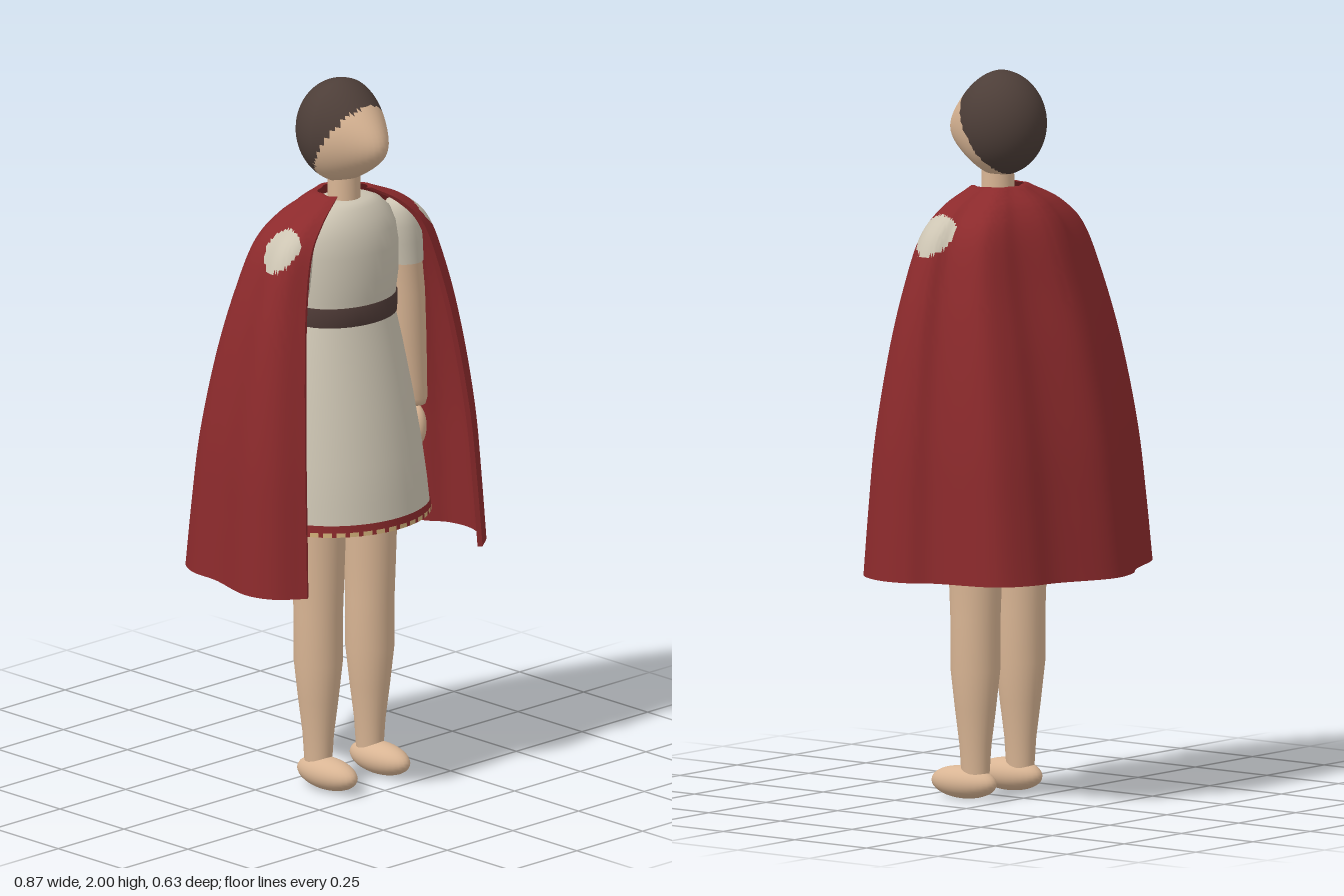
import * as THREE from 'three';
import { mergeVertices, toCreasedNormals } from 'three/addons/utils/BufferGeometryUtils.js';

const mat = (name, color) => new THREE.MeshStandardMaterial({ name, color, side: THREE.DoubleSide });

const CZ = 0.09; // depth of the body's axis

function meshOf(name, geometry, material) {
  const m = new THREE.Mesh(geometry, material);
  m.name = name;
  return m;
}

function buffer(pos, idx) {
  const g = new THREE.BufferGeometry();
  g.setAttribute('position', new THREE.Float32BufferAttribute(pos, 3));
  g.setIndex(idx);
  g.computeVertexNormals();
  return g;
}

// Stacked elliptical rings, top to bottom: [y, rx, rz, cx, cz]
function loft(rows, segs = 40, grow = 0) {
  const pos = [], idx = [];
  rows.forEach(([y, rx, rz, cx = 0, cz = CZ], j) => {
    for (let i = 0; i < segs; i++) {
      const a = (i / segs) * Math.PI * 2;
      pos.push(cx + (rx + grow) * Math.cos(a), y, cz + (rz + grow) * Math.sin(a));
      if (j === rows.length - 1) continue;
      const p = j * segs + i, q = j * segs + ((i + 1) % segs);
      idx.push(p, q, p + segs, q, q + segs, p + segs);
    }
  });
  return buffer(pos, idx);
}

// Sorts triangles into material groups; pick(centroid, triangle) gives a material index
function paint(g, count, pick) {
  const buckets = Array.from({ length: count }, () => []);
  const p = g.attributes.position, index = g.index.array;
  const v = new THREE.Vector3(), c = new THREE.Vector3();
  for (let t = 0; t < index.length; t += 3) {
    c.set(0, 0, 0);
    for (let k = 0; k < 3; k++) c.add(v.fromBufferAttribute(p, index[t + k]));
    buckets[pick(c.divideScalar(3), t / 3)].push(index[t], index[t + 1], index[t + 2]);
  }
  g.setIndex(buckets.flat());
  let start = 0;
  buckets.forEach((b, i) => {
    g.addGroup(start, b.length, i);
    start += b.length;
  });
  return g;
}

function ellipsoid(name, material, r, x, y, z) {
  const m = meshOf(name, new THREE.SphereGeometry(1, 28, 20), material);
  m.scale.set(...r);
  m.position.set(x, y, z);
  return m;
}

// Egg-shaped head whose face comes to a soft point at the nose
function headGeometry() {
  let g = new THREE.SphereGeometry(1, 56, 40);
  g.deleteAttribute('uv');
  g.deleteAttribute('normal');
  g = mergeVertices(g);
  const p = g.attributes.position;
  for (let i = 0; i < p.count; i++) {
    const x = p.getX(i), y = p.getY(i), z = p.getZ(i), f = Math.max(z, 0);
    const depth = z > 0 ? 0.13 * f ** 1.4 + 0.03 * f ** 8 : 0.135 * z;
    p.setXYZ(i, x * 0.122, 1.855 + y * 0.145 - 0.022 * f ** 4, 0.085 + depth);
  }
  g.computeVertexNormals();
  // Hairline slants from the forehead down to the nape
  return paint(g, 2, (c) => (c.z < 0.045 + (c.y - 1.72) * 0.6 ? 1 : 0));
}

// Cape: a wavy open outline scaled by height, given thickness
function capeGeometry() {
  const outline = new THREE.CatmullRomCurve3([
    [-0.34, 0.295], [-0.412, 0.235], [-0.437, 0.155], [-0.402, 0], [-0.394, -0.1], [-0.344, -0.175],
    [-0.18, -0.25], [-0.1, -0.3], [0, -0.317], [0.17, -0.25], [0.26, -0.23], [0.34, -0.175],
    [0.39, 0.01], [0.428, 0.07], [0.436, 0.15], [0.4, 0.235], [0.33, 0.293],
  ].map(([x, z]) => new THREE.Vector3(x, 0, z - CZ)));
  // width scale, height, depth scale
  const drape = new THREE.CatmullRomCurve3([
    [0.2, 1.685, 0.2], [0.47, 1.63, 0.36], [0.645, 1.56, 0.46], [0.77, 1.42, 0.58],
    [0.865, 1.24, 0.725], [0.945, 1.0, 0.87], [0.975, 0.82, 0.94], [1, 0.635, 1],
  ].map((a) => new THREE.Vector3(...a)));
  const cols = 100, rows = 70, ring = rows * 2;
  const around = outline.getPoints(cols - 1), down = drape.getSpacedPoints(rows - 1);
  const pos = [], idx = [];
  around.forEach((o, i) => {
    for (let j = 0; j < ring; j++) {
      const inner = j >= rows, d = down[inner ? ring - 1 - j : j], k = inner ? 0.014 : 0;
      const x = o.x * d.x, z = o.z * d.z, len = Math.hypot(x, z);
      pos.push(x * (1 - k / len), d.y, CZ + z * (1 - k / len));
      if (i === cols - 1) continue;
      const a = i * ring + j, c = i * ring + ((j + 1) % ring);
      idx.push(a, a + ring, c, a + ring, c + ring, c);
    }
  });
  // Close the two front edges
  const last = (cols - 1) * ring;
  for (let j = 0; j < rows - 1; j++) {
    const o = j, n = ring - 1 - j;
    idx.push(o, o + 1, n, o + 1, n - 1, n);
    idx.push(last + o, last + n, last + o + 1, last + o + 1, last + n, last + n - 1);
  }
  // Pale shoulder patches on the outer layer only
  const outer = (t) => t < (cols - 1) * ring * 2 && Math.floor(t / 2) % ring < rows - 1;
  const g = paint(buffer(pos, idx), 2, (c, t) =>
    outer(t) && Math.hypot((c.z - 0.107) / 0.058, (c.y - 1.57) / 0.052) < 1 ? 1 : 0);
  return toCreasedNormals(g, 0.8);
}

export function createModel() {
  const skin = mat('skin', 0xd9b594);
  const hair = mat('hair brown', 0x4d3e38);
  const cloth = mat('tunic cream', 0xcdc5b3);
  const red = mat('cape red', 0x8c2a2c);
  const belt = mat('belt brown', 0x4f3b37);
  const gold = mat('trim gold', 0xcfae78);

  const model = new THREE.Group();
  model.name = 'cloakedFigure';

  model.add(meshOf('head', headGeometry(), [skin, hair]));
  model.add(meshOf('neck', loft([[1.76, 0.044, 0.044], [1.62, 0.046, 0.046]]), skin));

  // Tunic
  model.add(meshOf('tunicTop', loft([
    [1.667, 0.04, 0.04], [1.663, 0.085, 0.062], [1.65, 0.115, 0.078], [1.62, 0.147, 0.1],
    [1.58, 0.163, 0.115], [1.53, 0.169, 0.124], [1.45, 0.169, 0.125], [1.4, 0.162, 0.12], [1.33, 0.157, 0.115],
  ]), cloth));
  model.add(meshOf('belt', loft([
    [1.386, 0.155, 0.112], [1.386, 0.165, 0.124], [1.332, 0.163, 0.123], [1.332, 0.155, 0.112],
  ]), belt));
  model.add(meshOf('skirt', loft([
    [1.34, 0.158, 0.116], [1.25, 0.177, 0.137], [1.1, 0.204, 0.17], [0.95, 0.228, 0.197],
    [0.85, 0.242, 0.21], [0.765, 0.252, 0.217],
  ]), cloth));

  // Hem: red band over a checked gold edge
  const segs = 120;
  const hem = loft([[0.795, 0.2485, 0.2145], [0.775, 0.251, 0.216], [0.763, 0.2525, 0.217]], segs, 0.003);
  model.add(meshOf('hemTrim', paint(hem, 2, (c, t) => {
    const cell = Math.floor(t / 2);
    return cell >= segs && cell % 3 !== 0 ? 1 : 0;
  }), [red, gold]));

  model.add(meshOf('cape', capeGeometry(), [red, cloth]));

  // Limbs, mirrored left and right
  for (const s of [1, -1]) {
    const side = s > 0 ? 'left' : 'right';
    const limb = (rows) => loft(rows.map(([y, rx, rz, cx, cz]) => [y, rx, rz, cx * s, cz]), 28);
    model.add(meshOf(side + 'Sleeve', limb([
      [1.622, 0.005, 0.005, 0.19, 0.1], [1.615, 0.026, 0.03, 0.192, 0.1], [1.59, 0.045, 0.05, 0.197, 0.1],
      [1.55, 0.055, 0.058, 0.205, 0.1], [1.5, 0.056, 0.058, 0.211, 0.1], [1.44, 0.054, 0.056, 0.217, 0.1],
    ]), cloth));
    model.add(meshOf(side + 'Arm', limb([
      [1.47, 0.05, 0.052, 0.214, 0.1], [1.35, 0.052, 0.053, 0.226, 0.1], [1.2, 0.049, 0.05, 0.236, 0.1],
      [1.08, 0.04, 0.042, 0.25, 0.1], [1.04, 0.038, 0.04, 0.254, 0.1], [1.02, 0.031, 0.034, 0.256, 0.1],
      [1.012, 0.004, 0.004, 0.256, 0.1],
    ]), skin));
    model.add(ellipsoid(side + 'Hand', skin, [0.027, 0.062, 0.036], 0.256 * s, 0.957, 0.105));
    model.add(meshOf(side + 'Leg', limb([
      [0.95, 0.08, 0.082, 0.098, CZ], [0.75, 0.075, 0.078, 0.098, CZ], [0.6, 0.069, 0.074, 0.098, CZ],
      [0.5, 0.066, 0.07, 0.098, CZ], [0.36, 0.065, 0.07, 0.098, CZ], [0.25, 0.053, 0.058, 0.098, CZ],
      [0.15, 0.04, 0.046, 0.098, CZ], [0.05, 0.033, 0.04, 0.098, CZ],
    ]), skin));
    model.add(ellipsoid(side + 'Foot', skin, [0.05, 0.045, 0.107], 0.1 * s, 0.045, 0.128));
  }
  return model;
}
